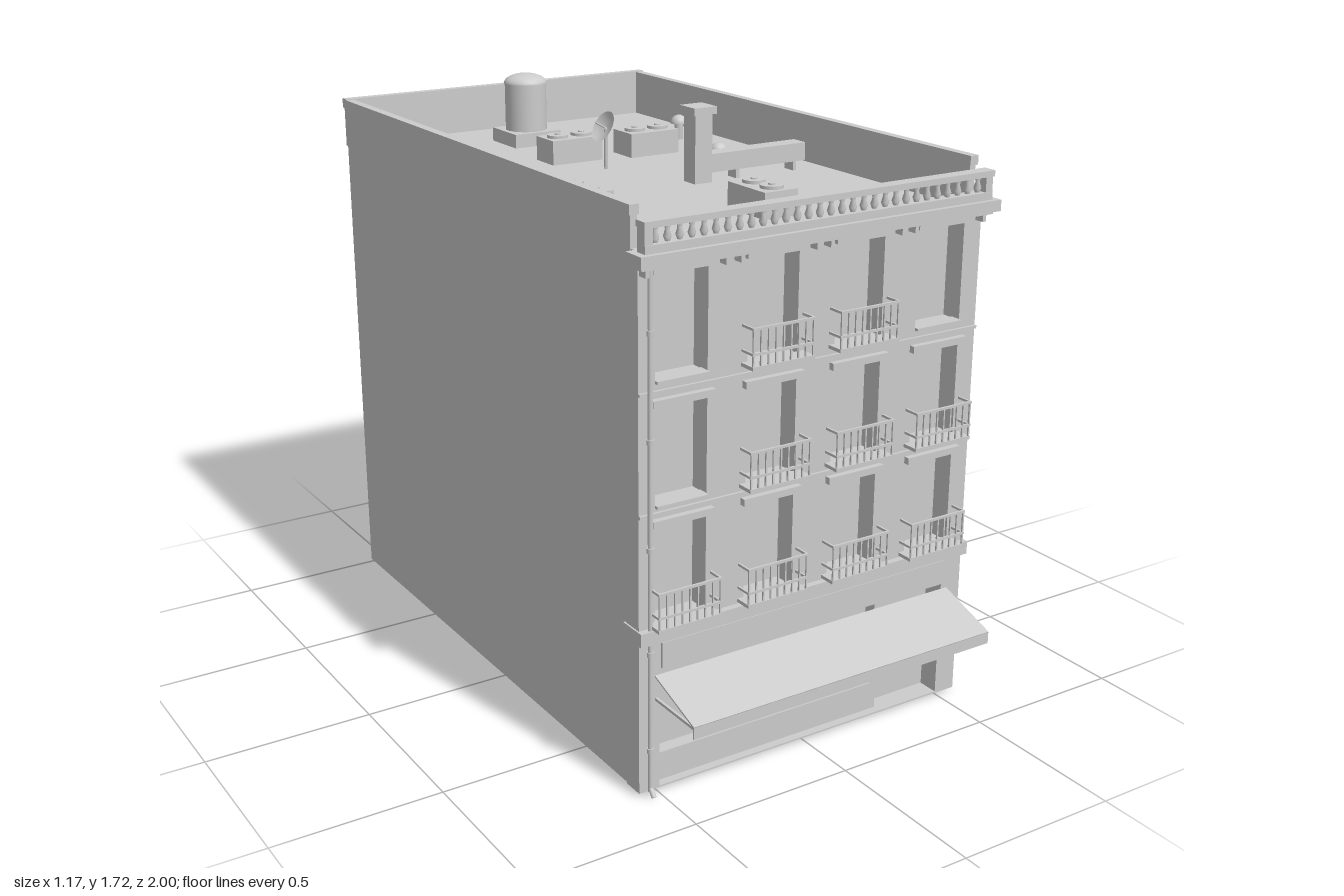
import * as THREE from 'three';

const stone = new THREE.MeshStandardMaterial({ color: 0xcccccc, side: THREE.DoubleSide });
stone.name = 'stone grey';

export function createModel() {
  const root = new THREE.Group();
  root.name = 'townBuilding';

  const mesh = (name, geo, parent = root) => {
    const m = new THREE.Mesh(geo, stone);
    m.name = name;
    parent.add(m);
    return m;
  };
  // Box given by its limits on each axis
  const box = (name, x0, x1, y0, y1, z0, z1, parent = root) => {
    const m = mesh(name, new THREE.BoxGeometry(x1 - x0, y1 - y0, z1 - z0), parent);
    m.position.set((x0 + x1) / 2, (y0 + y1) / 2, (z0 + z1) / 2);
    return m;
  };
  const cyl = (name, x, z, y0, y1, r, sides = 16, parent = root) => {
    const m = mesh(name, new THREE.CylinderGeometry(r, r, y1 - y0, sides), parent);
    m.position.set(x, (y0 + y1) / 2, z);
    return m;
  };
  const group = (name) => {
    const g = new THREE.Group();
    g.name = name;
    root.add(g);
    return g;
  };

  const ROOF = 1.49, FACE = 0.81, BACK = 0.745;
  const columns = [-0.43, -0.145, 0.14, 0.42];
  const floors = [0.505, 0.84, 1.18];
  const heads = [0.785, 1.115, 1.465];

  // Main block
  box('mainBlock', -0.556, 0.556, 0.01, ROOF, -0.997, BACK);

  // Facade with window and shop openings
  const rect = (C, x0, x1, y0, y1) => {
    const p = new C();
    p.moveTo(x0, y0).lineTo(x1, y0).lineTo(x1, y1).lineTo(x0, y1).closePath();
    return p;
  };
  const wall = rect(THREE.Shape, -0.56, 0.56, 0.01, 1.5);
  floors.forEach((y, f) => columns.forEach((x) =>
    wall.holes.push(rect(THREE.Path, x - 0.08, x + 0.08, y + 0.005, heads[f]))));
  wall.holes.push(rect(THREE.Path, -0.495, 0.49, 0.015, 0.375));
  const facade = mesh('facade', new THREE.ExtrudeGeometry(wall, { depth: FACE - BACK, bevelEnabled: false }));
  facade.position.z = BACK;

  // Shop front
  box('shopRiser', -0.495, 0.27, 0.015, 0.1, BACK, 0.785);
  box('shopDoorPost', 0.26, 0.275, 0.015, 0.375, BACK, 0.785);
  box('shopSign', -0.49, 0.49, 0.375, 0.45, FACE, 0.816);

  // Awning with valance and side arms
  const awning = group('awning');
  const slope = mesh('awningCloth', new THREE.BoxGeometry(1.02, 0.005, Math.hypot(0.19, 0.065)), awning);
  slope.position.set(0, 0.322, 0.905);
  slope.rotation.x = Math.atan2(0.065, 0.19);
  box('awningValance', -0.51, 0.51, 0.255, 0.291, 0.995, 1, awning);
  for (const s of [-1, 1])
    box('awningArm', s * 0.505 - 0.004, s * 0.505 + 0.004, 0.281, 0.289, FACE, 0.998, awning);

  // Horizontal bands
  box('shopCornice', -0.565, 0.565, 0.46, 0.5, 0.74, 0.83);
  for (const y of [0.82, 1.153]) box('floorBand', -0.56, 0.56, y, y + 0.009, FACE, 0.818);

  // Lintels, sills and balconies
  const balcony = (x, y) => {
    const g = group('balcony');
    const w = 0.1, z1 = 0.862;
    box('balconyFloor', x - w, x + w, y, y + 0.01, FACE, z1, g);
    for (const h of [0.04, 0.108]) {
      box('frontRail', x - w, x + w, y + h, y + h + 0.007, z1 - 0.007, z1, g);
      for (const s of [-1, 1])
        box('sideRail', x + s * 0.097 - 0.003, x + s * 0.097 + 0.003, y + h, y + h + 0.007, FACE, z1, g);
    }
    for (let i = 0; i < 9; i++) {
      const bx = x - 0.096 + i * 0.024;
      box('baluster', bx - 0.0022, bx + 0.0022, y + 0.01, y + 0.11, z1 - 0.006, z1 - 0.001, g);
    }
  };
  const hasBalcony = [[1, 1, 1, 1], [0, 1, 1, 1], [0, 1, 1, 0]];
  floors.forEach((y, f) => columns.forEach((x, c) => {
    box('lintel', x - 0.095, x + 0.095, heads[f] + 0.005, heads[f] + 0.025, FACE, 0.828);
    if (hasBalcony[f][c]) balcony(x, y);
    else box('sill', x - 0.08, x + 0.08, y, y + 0.008, 0.78, 0.822);
  }));

  // Drain pipe with joints and a kicked-out foot
  const pipe = group('drainPipe');
  cyl('pipe', -0.53, 0.82, 0.015, 1.5, 0.007, 10, pipe);
  for (const y of [0.14, 0.43, 0.73, 1.03, 1.32]) cyl('pipeJoint', -0.53, 0.82, y - 0.007, y + 0.007, 0.01, 10, pipe);
  const foot = cyl('pipeFoot', -0.53, 0.829, 0, 0.028, 0.007, 10, pipe);
  foot.rotation.x = -0.7;

  // Top cornice with brackets
  box('topCornice', -0.583, 0.583, 1.498, 1.53, 0.79, 0.862);
  box('corniceMould', -0.57, 0.57, 1.488, 1.498, 0.8, 0.845);
  for (const x of [-0.55, -0.31, -0.265, -0.025, 0.02, 0.26, 0.305, 0.545])
    box('bracket', x - 0.006, x + 0.006, 1.468, 1.49, FACE, 0.84);

  // Balustrade
  const balustrade = group('balustrade');
  box('balustradeBase', -0.562, 0.562, 1.53, 1.552, 0.81, 0.848, balustrade);
  box('balustradeRail', -0.565, 0.565, 1.595, 1.612, 0.808, 0.85, balustrade);
  const turned = new THREE.LatheGeometry([[0.006, 0], [0.011, 0.013], [0.006, 0.03], [0.009, 0.045]]
    .map(([r, y]) => new THREE.Vector2(r, y)), 8);
  for (let i = 0; i < 30; i++)
    mesh('turnedBaluster', turned, balustrade).position.set(-0.522 + i * 0.036, 1.551, 0.829);
  for (const x of [-0.55, 0.55]) box('endPost', x - 0.012, x + 0.012, 1.53, 1.6, 0.812, 0.846, balustrade);

  // Roof parapet and capping
  box('roofEdge', -0.558, 0.558, 1.485, 1.53, 0.775, 0.8);
  for (const s of [-1, 1]) {
    box('sideParapet', s * 0.55 - 0.01, s * 0.55 + 0.01, ROOF, 1.615, -0.997, 0.775);
    box('sideCap', s * 0.551 - 0.014, s * 0.551 + 0.014, 1.615, 1.642, -1, 0.78);
  }
  box('backParapet', -0.56, 0.56, ROOF, 1.615, -0.999, -0.978);
  box('backCap', -0.565, 0.565, 1.615, 1.645, -1, -0.972);
  box('roofDeck', -0.55, 0.55, 1.485, 1.496, -0.98, 0.8);

  // Water tank
  const tank = group('waterTank');
  box('tankBase', -0.13, 0.035, ROOF, 1.54, -0.79, -0.63, tank);
  cyl('tankBody', -0.047, -0.712, 1.54, 1.69, 0.067, 28, tank);
  const dome = mesh('tankDome', new THREE.SphereGeometry(0.07, 28, 8, 0, Math.PI * 2, 0, Math.PI / 2), tank);
  dome.scale.y = 0.45;
  dome.position.set(-0.047, 1.69, -0.712);

  // Air conditioning units with two fans each
  for (const [x, z, w, d] of [[-0.08, -0.368, 0.175, 0.105], [0.183, -0.34, 0.175, 0.11],
    [-0.415, 0.278, 0.11, 0.175], [0.02, 0.522, 0.11, 0.175]]) {
    const g = group('airUnit');
    box('unitCase', x - w / 2, x + w / 2, 1.5, 1.575, z - d / 2, z + d / 2, g);
    for (const s of [-1, 1]) {
      const fx = w > d ? s * 0.042 : 0, fz = w > d ? 0 : s * 0.042;
      cyl('fan', x + fx, z + fz, 1.575, 1.584, 0.033, 16, g);
      cyl('fanHub', x + fx, z + fz, 1.584, 1.588, 0.01, 10, g);
    }
  }

  // Mushroom vents
  for (const [x, z] of [[0.405, -0.49], [0.25, -0.03]]) {
    cyl('ventPipe', x, z, ROOF, 1.55, 0.014, 12);
    const cap = mesh('ventCap', new THREE.SphereGeometry(0.028, 16, 6, 0, Math.PI * 2, 0, Math.PI / 2));
    cap.position.set(x, 1.548, z);
  }

  // Satellite dish
  const dish = group('dish');
  cyl('dishPole', -0.045, -0.205, ROOF, 1.62, 0.006, 8, dish);
  const bowl = new THREE.Group();
  bowl.name = 'dishBowl';
  bowl.position.set(-0.042, 1.62, -0.205);
  bowl.rotation.z = 1.05;
  dish.add(bowl);
  mesh('bowl', new THREE.LatheGeometry([0, 0.02, 0.036, 0.05]
    .map((r) => new THREE.Vector2(r, r * r * 6)), 24), bowl);
  cyl('feedArm', 0, 0, 0, 0.045, 0.003, 6, bowl);

  // Flue with a raised duct
  box('flue', 0.062, 0.122, ROOF, 1.7, 0.065, 0.125);
  box('flueCap', 0.052, 0.13, 1.7, 1.722, 0.056, 0.135);
  box('duct', 0.12, 0.463, 1.525, 1.58, 0.068, 0.125);
  for (const x of [0.22, 0.43]) box('ductLeg', x - 0.006, x + 0.006, ROOF, 1.53, 0.075, 0.118);

  return root;
}
